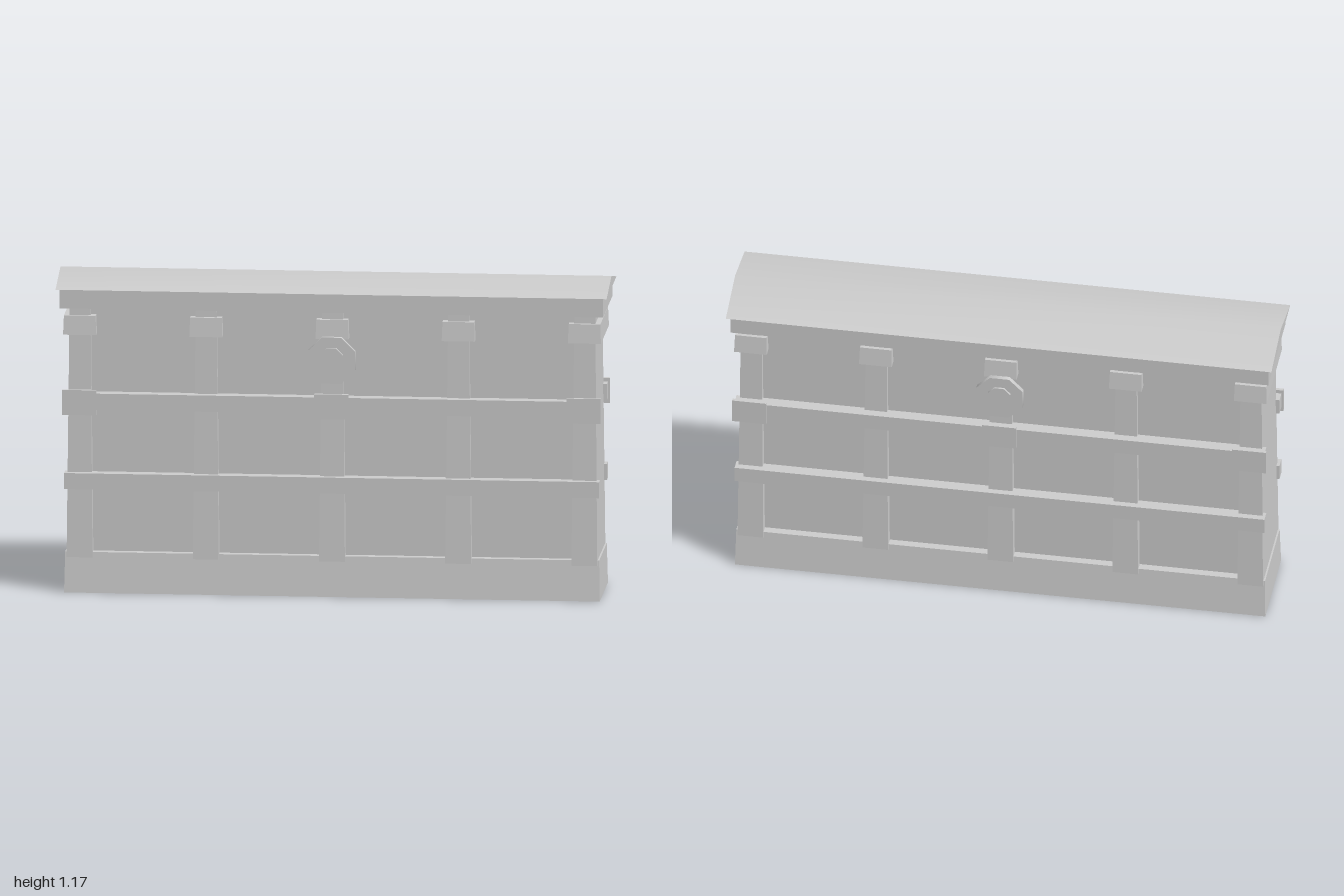
import * as THREE from 'three';

export function createModel() {
  const group = new THREE.Group();
  const stone = new THREE.MeshStandardMaterial({ color: 0xcccccc });
  stone.name = 'pale grey stone';

  const add = (name, geometry, x = 0, y = 0, z = 0) => {
    const mesh = new THREE.Mesh(geometry, stone);
    mesh.name = name;
    mesh.position.set(x, y, z);
    group.add(mesh);
    return mesh;
  };

  // Box from y0 to y1 whose top can be narrower than its bottom
  const taperedBox = (w, d, y0, y1, topW = w, topD = d) => {
    const g = new THREE.BoxGeometry(w, y1 - y0, d);
    g.translate(0, (y0 + y1) / 2, 0);
    const p = g.attributes.position;
    for (let i = 0; i < p.count; i++) {
      if (p.getY(i) > (y0 + y1) / 2) {
        p.setX(i, p.getX(i) * topW / w);
        p.setZ(i, p.getZ(i) * topD / d);
      }
    }
    g.computeVertexNormals();
    return g;
  };

  // Plinth and wall core
  add('base', taperedBox(1.944, 0.35, 0, 0.148, 1.938, 0.322));
  add('wallPanel', taperedBox(1.85, 0.264, 0.1, 1.06));

  // Five tapering pillars with capitals, running through the wall
  for (let i = -2; i <= 2; i++) {
    const x = i * 0.458;
    add('pillar', taperedBox(0.094, 0.344, 0.13, 1.055, 0.076, 0.3), x);
    add('capital', taperedBox(0.12, 0.34, 0.95, 1.02, 0.115, 0.326), x);
  }

  // Rails, clamp plates and medallions on both faces
  for (const side of [1, -1]) {
    add('lowerRail', taperedBox(1.942, 0.043, 0.384, 0.443), 0, 0, side * 0.1665);
    add('upperRail', taperedBox(1.942, 0.043, 0.678, 0.738), 0, 0, side * 0.1665);
    for (const x of [-0.916, 0, 0.916]) {
      add('clampPlate', taperedBox(0.124, 0.012, 0.66, 0.752), x, 0, side * 0.193);
    }
    const octagon = (r, depth) =>
      new THREE.CylinderGeometry(r, r, depth, 8).rotateY(Math.PI / 8).rotateX(Math.PI / 2);
    add('medallion', octagon(0.092, 0.018), 0, 0.875, side * 0.181);
    add('medallionBoss', octagon(0.045, 0.008), 0, 0.88, side * 0.194);
  }

  // Fascia below the roof
  add('fascia', taperedBox(1.972, 0.386, 1.052, 1.124));

  // Roof: softly shaded ridge, closed gables and soffit
  const eave = 1.123, ridge = 1.167, half = 0.208;
  const slopes = new THREE.PlaneGeometry(2, half * 2, 1, 2).rotateX(-Math.PI / 2);
  const p = slopes.attributes.position;
  for (let i = 0; i < p.count; i++) {
    p.setY(i, Math.abs(p.getZ(i)) < 0.01 ? ridge : eave);
  }
  slopes.computeVertexNormals();
  add('roofSlopes', slopes);
  add('roofSoffit', new THREE.PlaneGeometry(2, half * 2).rotateX(Math.PI / 2), 0, eave, 0);
  const gable = new THREE.Shape([
    new THREE.Vector2(-half, eave),
    new THREE.Vector2(half, eave),
    new THREE.Vector2(0, ridge),
  ]);
  for (const side of [1, -1]) {
    add('roofGable', new THREE.ShapeGeometry(gable).rotateY(side * Math.PI / 2), side, 0, 0);
  }

  return group;
}
